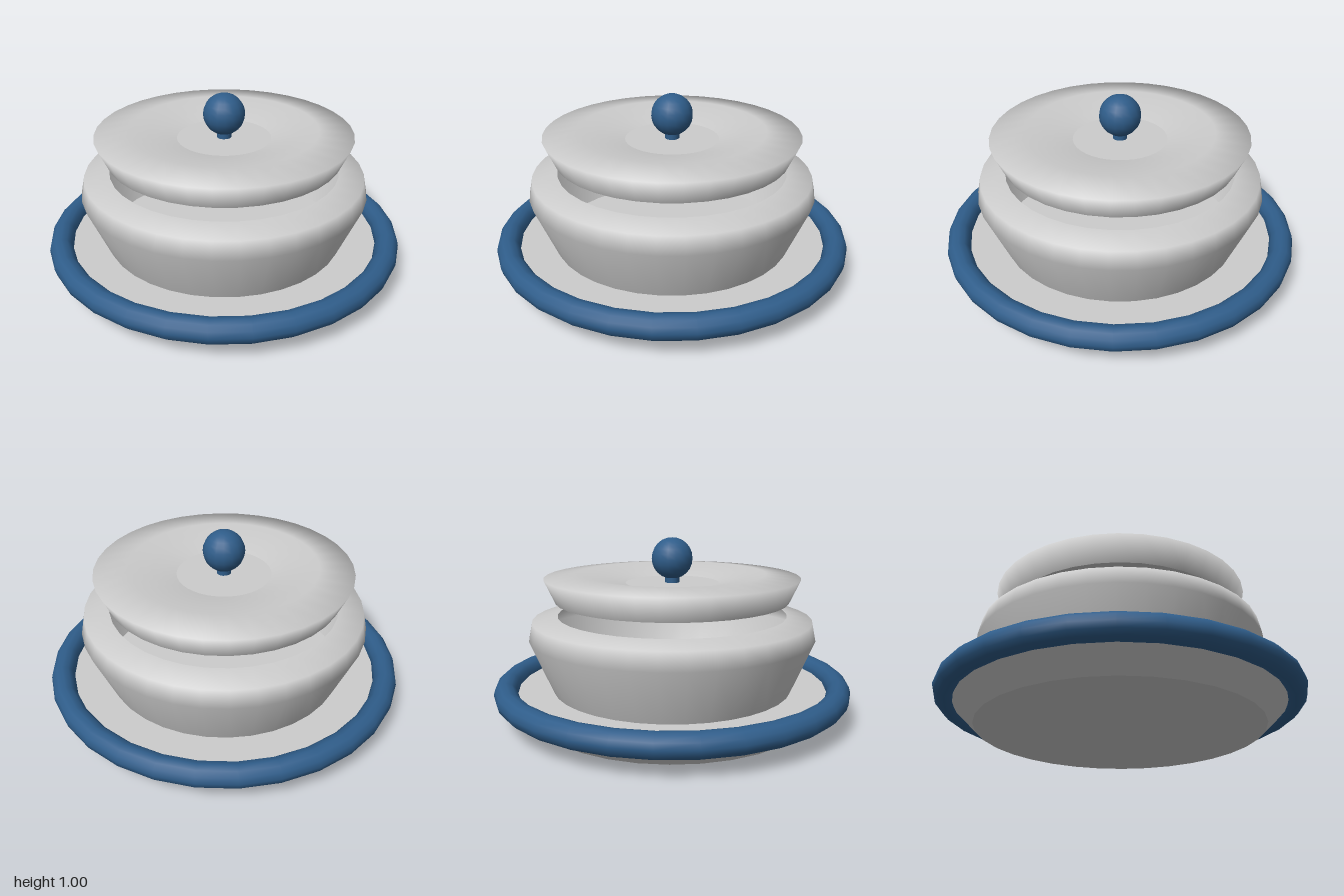
import * as THREE from 'three';

const grey = new THREE.MeshStandardMaterial({ color: 0xcccccc, side: THREE.DoubleSide });
const blue = new THREE.MeshStandardMaterial({ color: 0x2f5d8a });

export function createModel() {
  const group = new THREE.Group();

  const add = (name, geometry, material, y = 0) => {
    const mesh = new THREE.Mesh(geometry, material);
    mesh.name = name;
    mesh.position.y = y;
    group.add(mesh);
    return mesh;
  };
  // Smooth turned shell from [radius, height] pairs, bottom to top
  const turned = (pairs) =>
    new THREE.LatheGeometry(pairs.map(([r, y]) => new THREE.Vector2(r, y)), 36);
  // Level round plate facing up
  const disc = (r) => new THREE.CircleGeometry(r, 36).rotateX(-Math.PI / 2);

  // Flared saucer with a thick coloured rim
  add('saucer', new THREE.CylinderGeometry(0.945, 0.78, 0.16, 32), grey, 0.08);
  add('saucerRim', new THREE.TorusGeometry(0.935, 0.065, 12, 30).rotateX(Math.PI / 2), blue, 0.16);

  // Open bowl with an inward shoulder, standing on the saucer
  add('bowl', turned([[0.675, 0.16], [0.8, 0.455], [0.78, 0.55], [0.64, 0.575]]), grey);

  // Lid raised above the bowl, with a dished top
  add('lid', turned([[0.65, 0.655], [0.71, 0.785], [0.52, 0.805], [0.26, 0.75]]), grey);
  add('lidBase', disc(0.65), grey, 0.655);
  add('lidCentre', disc(0.26), grey, 0.75);

  // Ball knob on a short hidden neck
  add('knobNeck', new THREE.CylinderGeometry(0.04, 0.04, 0.06, 12), blue, 0.78);
  add('knob', new THREE.SphereGeometry(0.115, 16, 12), blue, 0.885);

  return group;
}
